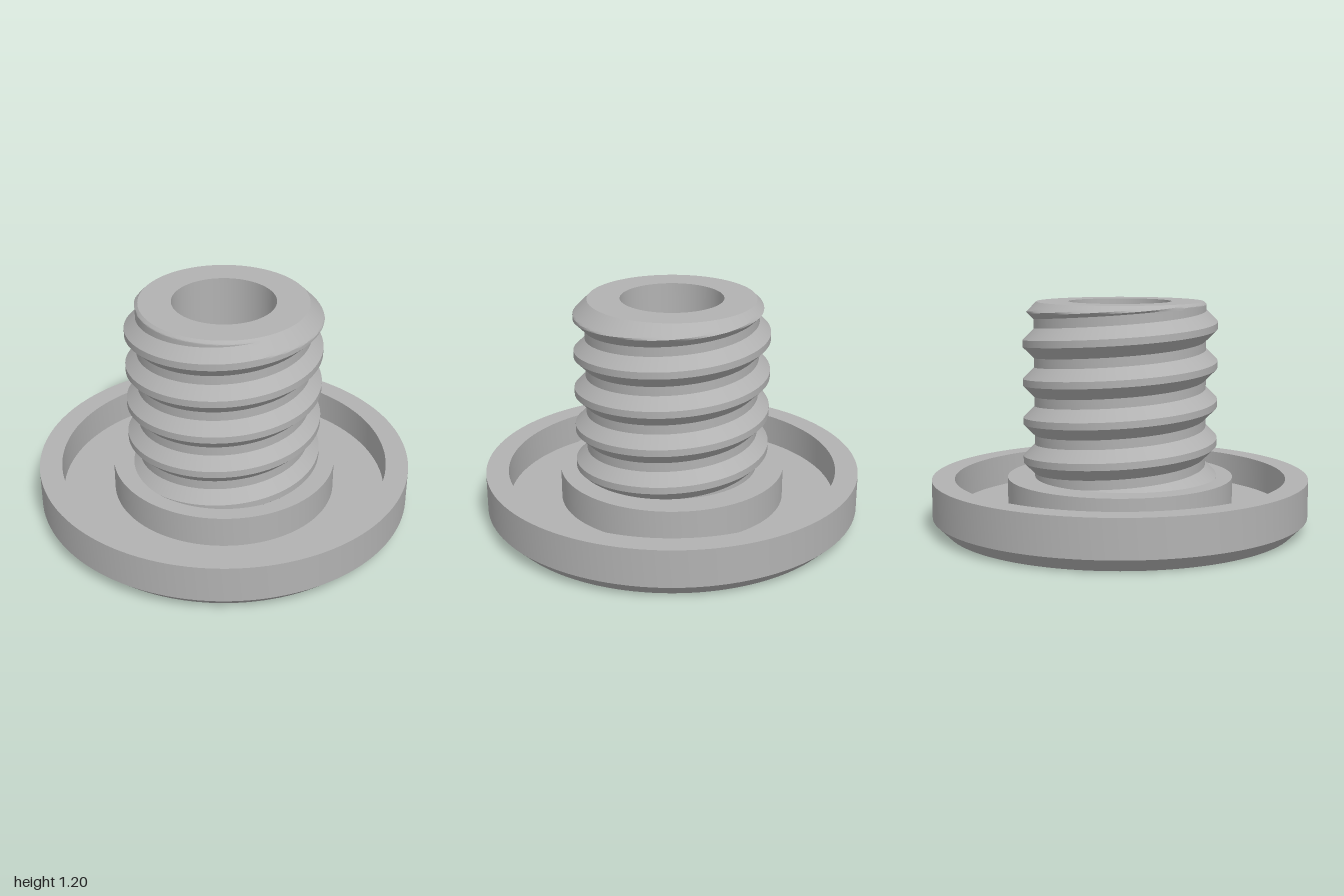
import * as THREE from 'three';
import { toCreasedNormals } from 'three/addons/utils/BufferGeometryUtils.js';

const SEGMENTS = 128;
const BASE = 0.27, TOP = 1.2;                      // threaded shank from base to top
const PITCH = 0.205, CREST = 0.515, ROOT = 0.455;  // thread form
const HALF_FLAT = 0.018, FLANK = 0.06;
const TOP_RADIUS = 0.44;

function lathe(name, points, material) {
  const profile = points.map(([r, y]) => new THREE.Vector2(r, y));
  const geometry = toCreasedNormals(new THREE.LatheGeometry(profile, SEGMENTS), 0.5);
  const mesh = new THREE.Mesh(geometry, material);
  mesh.name = name;
  return mesh;
}

// Radius of the thread at distance d from the crest line, cut by the top chamfer
function threadRadius(d, y) {
  const r = THREE.MathUtils.clamp(CREST + HALF_FLAT - Math.abs(d), ROOT, CREST);
  return Math.min(r, TOP_RADIUS + TOP - y);
}

// Right-handed helical surface, clipped flat at both ends
function threadGeometry() {
  const breaks = [-PITCH / 2, -HALF_FLAT - FLANK, -HALF_FLAT, HALF_FLAT, HALF_FLAT + FLANK, PITCH / 2];
  const rows = [];
  for (let turn = -5; turn <= 1; turn++) {
    for (let i = 0; i < breaks.length - 1; i++) {
      const steps = turn < -1 ? 1 : 6;             // finer where the chamfer cuts the thread
      for (let s = 0; s < steps; s++) {
        rows.push([turn, THREE.MathUtils.lerp(breaks[i], breaks[i + 1], s / steps)]);
      }
    }
  }
  const positions = [], index = [];
  for (let j = 0; j <= SEGMENTS; j++) {
    const a = (j / SEGMENTS) * Math.PI * 2;
    for (const [turn, offset] of rows) {
      const crest = 1.07 + PITCH * (turn + j / SEGMENTS);
      const y = THREE.MathUtils.clamp(crest + offset, BASE, TOP);
      const r = threadRadius(y - crest - PITCH * Math.round((y - crest) / PITCH), y);
      positions.push(r * Math.sin(a), y, r * Math.cos(a));
    }
  }
  const n = rows.length;
  for (let j = 0; j < SEGMENTS; j++) {
    for (let i = 0; i < n - 1; i++) {
      const a = j * n + i, b = a + n;
      index.push(a, b, a + 1, b, b + 1, a + 1);
    }
  }
  const geometry = new THREE.BufferGeometry();
  geometry.setAttribute('position', new THREE.Float32BufferAttribute(positions, 3));
  geometry.setIndex(index);
  return toCreasedNormals(geometry, 0.5);
}

export function createModel() {
  const metal = new THREE.MeshStandardMaterial({ color: 0xb2b2b2 });
  metal.name = 'grey metal';

  const model = new THREE.Group();
  model.name = 'threadedFlangePlug';

  // Flange with chamfered underside, raised rim, ring groove and central boss
  model.add(lathe('flange', [
    [0.365, 0.035], [0.4, 0], [0.93, 0], [1, 0.07], [1, BASE],
    [0.88, BASE], [0.88, 0.1], [0.6, 0.1], [0.6, BASE], [0.44, BASE],
  ], metal));

  // Threaded shank
  const thread = new THREE.Mesh(threadGeometry(), metal);
  thread.name = 'threadedShank';
  model.add(thread);

  // End face and stepped through bore, wider at the bottom
  model.add(lathe('endFaceAndBore', [
    [TOP_RADIUS, TOP], [0.27, TOP], [0.27, 0.7], [0.365, 0.7], [0.365, 0.035],
  ], metal));

  return model;
}
